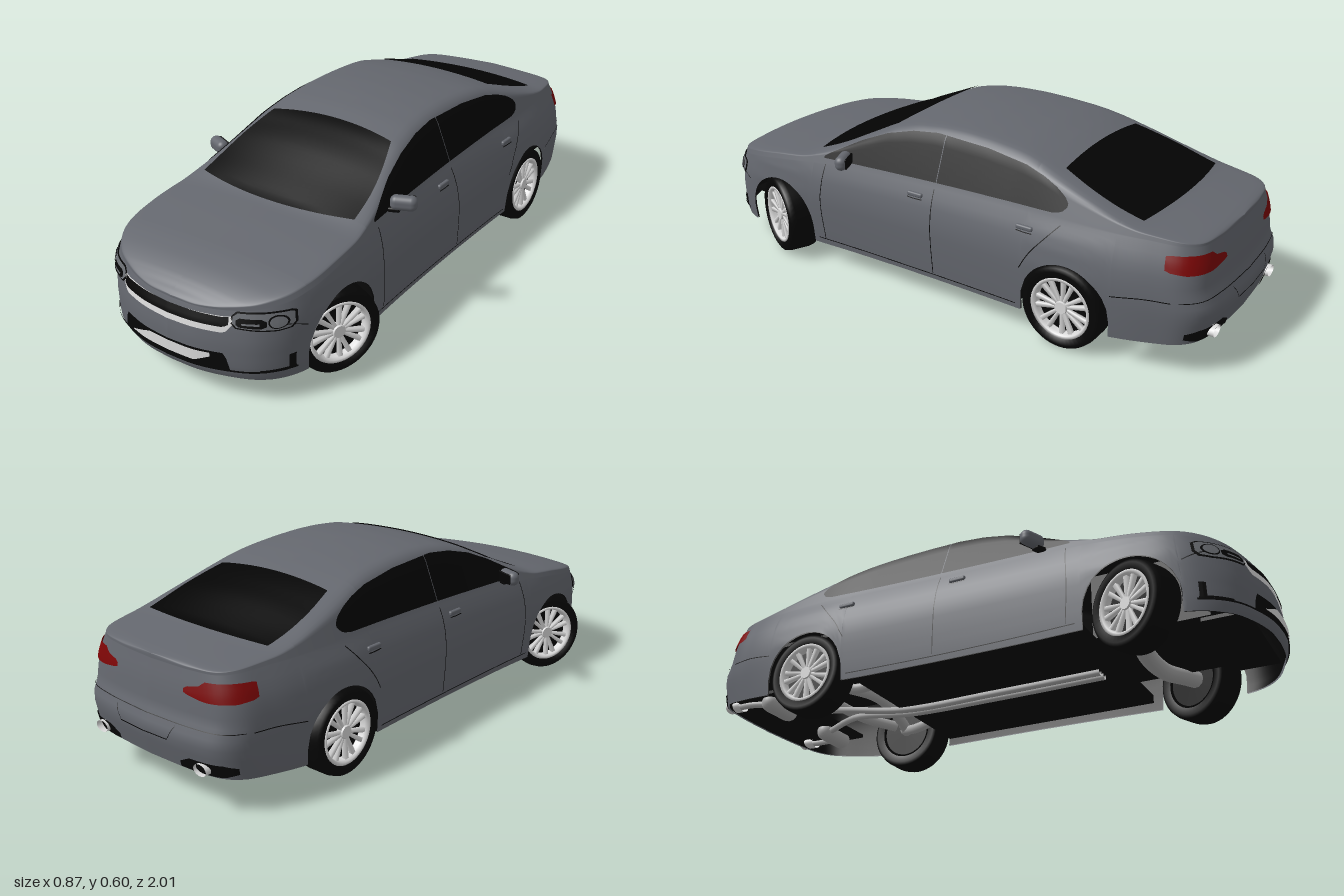
import * as THREE from 'three';
import { mergeVertices } from 'three/addons/utils/BufferGeometryUtils.js';
import { RoundedBoxGeometry } from 'three/addons/geometries/RoundedBoxGeometry.js';

const mat = (name, color) => new THREE.MeshStandardMaterial({ name, color, side: THREE.DoubleSide });

// ---- small helpers ----
const mix = (a, b, t) => a + (b - a) * t;
// linear table lookup, keys ascending; col picks the value column
function lin(t, x, col = 1) {
  if (x <= t[0][0]) return t[0][col];
  for (let i = 1; i < t.length; i++) {
    if (x <= t[i][0]) return mix(t[i - 1][col], t[i][col], (x - t[i - 1][0]) / (t[i][0] - t[i - 1][0] || 1));
  }
  return t[t.length - 1][col];
}
// surface from fn(u, v); its front is dU x dV
function grid(nu, nv, fn) {
  const pos = [], idx = [];
  for (let i = 0; i <= nu; i++) for (let j = 0; j <= nv; j++) pos.push(...fn(i / nu, j / nv, i, j));
  for (let i = 0; i < nu; i++) for (let j = 0; j < nv; j++) {
    const a = i * (nv + 1) + j, b = a + nv + 1;
    idx.push(a, b, a + 1, b, b + 1, a + 1);
  }
  const g = new THREE.BufferGeometry();
  g.setAttribute('position', new THREE.Float32BufferAttribute(pos, 3));
  g.setIndex(idx);
  g.computeVertexNormals();
  return g;
}

// ---- body shape rules ----
const planPts = [[0, 1], [.1, .993], [.2, .965], [.28, .925], [.338, .86], [.368, .78], [.382, .66], [.383, .5], [.376, .3], [.373, 0],
  [.378, -.3], [.385, -.5], [.375, -.7], [.355, -.82], [.325, -.92], [.28, -.965], [.18, -.988], [0, -1]];
const arches = [.64, -.545], archR = .155;
const curve = new THREE.CatmullRomCurve3(planPts.map(([x, z]) => new THREE.Vector3(x, 0, z)));
const half = curve.getSpacedPoints(160).map(p => [p.z, Math.max(0, p.x)]).sort((a, b) => a[0] - b[0]);
for (const c of arches) for (const e of [-archR - .0008, -archR + .0002, archR - .0002, archR + .0008]) half.push([c + e, lin(half.slice(0, 161), c + e)]);
half.sort((a, b) => a[0] - b[0]);
const planX = z => lin(half, z);

const widthT = [[.08, .975], [.12, .985], [.2, .997], [.27, 1], [.33, .975], [.37, .942], [.4, .905], [.42, .88]];
const noseT = [[.08, .985], [.11, 1], [.2, .997], [.26, .985], [.3, .97], [.33, .955]];
const tailT = [[.1, .975], [.14, .985], [.2, 1], [.23, 1], [.26, .98], [.35, .968], [.42, .952]];
const rimT = [[-1, .41], [-.93, .415], [-.8, .42], [-.5, .415], [0, .4], [.3, .39], [.5, .378], [.65, .36], [.8, .338], [.9, .318], [1, .293]];
const ridgeT = [[-1, .41], [-.94, .43], [-.85, .443], [-.76, .455], [-.7, .475], [-.6, .512], [-.5, .543], [-.4, .57], [-.3, .588], [-.2, .598],
  [-.1, .603], [0, .6], [.1, .588], [.2, .56], [.3, .52], [.4, .472], [.53, .413], [.65, .4], [.8, .376], [.88, .354], [.94, .326], [.97, .298], [1, .285]];
const sillT = [[-1, .118], [-.9, .108], [-.7, .09], [-.3, .085], [.9, .08], [1, .085]];
const ridge = z => (lin(ridgeT, z - .02) + lin(ridgeT, z) + lin(ridgeT, z + .02)) / 3;
function bottomY(z) {
  for (const c of arches) {
    const d = z - c;
    if (Math.abs(d) < archR) return .135 + Math.sqrt(archR * archR - d * d);
  }
  return lin(sillT, z);
}
function skin(px, pz, y) {
  const g = lin(pz > 0 ? noseT : tailT, y);
  return [px * lin(widthT, y), y, pz * (1 + (g - 1) * pz ** 4)];
}
// section above the shoulder: corner of roof (or bonnet) and centre height
function section(xr, yr, z) {
  const H = Math.max(ridge(z), yr + .002), h = H - yr, k = .5 + .4 * Math.min(1, (h / .17) ** 1.2);
  return { xc: Math.max(0, xr - .4 * k * h), yc: yr + k * h, H };
}
const sectionAt = z => {
  const yr = lin(rimT, z), xr = planX(z) * lin(widthT, yr);
  return { xr, yr, ...section(xr, yr, z) };
};
function topPoint(xr, yr, z, w) {
  const { xc, yc, H } = section(xr, yr, z);
  const roof = s => [xc * s, yc + (H - yc) * (1 - s * s)];
  const side = a => [mix(xr, xc, a), mix(yr, yc, a)];
  if (w < .4) return side(w * 2);
  if (w > .6) return roof(.85 * (1 - w) / .4);
  const t = (w - .4) / .2, p = side(.8), q = roof(.85);
  return [0, 1].map(i => (1 - t) ** 2 * p[i] + 2 * t * (1 - t) * [xc, yc][i] + t * t * q[i]);
}

// whole outer skin: columns run round the plan, rows climb from sill to centre line
function bodySkin() {
  const loop = [...half.map(p => [p[1], p[0]]).reverse(), ...half.slice(1).map(p => [-p[1], p[0]])];
  const low = 10, high = 20;
  let g = grid(loop.length - 1, low + high, (u, v, i, j) => {
    const [px, pz] = loop[i], s = px < 0 ? -1 : 1, yr = lin(rimT, pz);
    if (j <= low) return skin(px, pz, mix(bottomY(pz), yr, j / low));
    const [xr, , z] = skin(Math.abs(px), pz, yr);
    const [x, y] = topPoint(xr, yr, z, (j - low) / high);
    return [j === low + high ? 0 : s * x, y, z];
  });
  g = mergeVertices(g, 1e-5);
  g.computeVertexNormals();
  return g;
}
// same skin, moved inwards and turned inside out
function liningOf(skinGeo) {
  const g = skinGeo.clone(), p = g.attributes.position, n = g.attributes.normal;
  for (let i = 0; i < p.count; i++) p.setXYZ(i, p.getX(i) - n.getX(i) * .006, p.getY(i) - n.getY(i) * .006, p.getZ(i) - n.getZ(i) * .006);
  g.setIndex(Array.from(g.index.array).reverse());
  g.computeVertexNormals();
  return g;
}
// thin plate wrapped on nose (dir 1) or tail (dir -1); cols are [plan x, yLow, yHigh]
function endPlate(cols, dir, off = .004) {
  const order = dir > 0 ? half.slice().reverse() : half;
  const x0 = cols[0][0], x1 = cols[cols.length - 1][0];
  return grid(40, 4, (u, v) => {
    const c = dir > 0 ? mix(x0, x1, u) : mix(x1, x0, u), px = Math.abs(c);
    const y = mix(lin(cols, c, 1), lin(cols, c, 2), v);
    let i = 1;
    while (order[i][1] < px && i < 80) i++;
    const a = order[i - 1], b = order[i], dz = b[0] - a[0], dx = b[1] - a[1], len = Math.hypot(dx, dz);
    const [x, , z] = skin(px, a[0] + dz * (px - a[1]) / dx, y);
    return [Math.sign(c) * (x - dir * off * dz / len), y, z + dir * off * dx / len];
  });
}
const mirrorCols = cols => cols.map(([x, a, b]) => [-x, a, b]).reverse();
const roundCols = (x, y, r) => Array.from({ length: 13 }, (_, i) => {
  const a = Math.PI * (1 - i / 12), h = r * Math.sin(a);
  return [x + r * Math.cos(a), y - h, y + h];
});
const sideX = (z, y) => planX(z) * lin(widthT, y);
// fine line on a flank along [z, y] points
function seam(pts, s) {
  const path = new THREE.CatmullRomCurve3(pts.map(([z, y]) => new THREE.Vector3(0, y, z)));
  return grid(24, 1, (u, v) => {
    const p = path.getPoint(u), t = path.getTangent(u), d = (v - .5) * .003;
    const z = p.z + t.y * d, y = p.y - t.z * d;
    return [s * (sideX(z, y) + .0025), y, z];
  });
}

export function createModel() {
  const car = new THREE.Group();
  car.name = 'saloonCar';
  const paint = mat('bodyGrey', 0x64676e), glass = mat('darkGlass', 0x030303), trim = mat('blackTrim', 0x060606);
  const rubber = mat('tyreBlack', 0x050505), silver = mat('silver', 0xdadada), steel = mat('steel', 0xaaaaaa);
  const red = mat('lampRed', 0x7c0606), lens = mat('lampLens', 0x6a6d72);
  const add = (name, geo, m, parent = car, pos = [0, 0, 0]) => {
    const mesh = new THREE.Mesh(geo, m);
    mesh.name = name;
    mesh.position.set(...pos);
    parent.add(mesh);
    return mesh;
  };
  const tube = (name, pts, r, m) => add(name, new THREE.TubeGeometry(new THREE.CatmullRomCurve3(pts.map(p => new THREE.Vector3(...p))), 32, r, 10), m);

  // body
  const shell = bodySkin();
  add('bodyShell', shell, paint);
  add('innerLining', liningOf(shell), trim);

  // front and rear screens
  const screen = (z0, z1, w0, w1, bow0, bow1) => grid(24, 24, (u, v) => {
    const q = u * 2 - 1, x = q * (mix(w0, w1, v) + .014 * Math.sin(Math.PI * v));
    const z = mix(z0 + bow0 * q * q, z1 + bow1 * q * q, v);
    const { xc, yc, H } = sectionAt(z);
    return [x, yc + (H - yc) * (1 - (x / xc) ** 2) + .004, z];
  });
  add('windscreen', screen(.53, .17, .303, .24, -.045, .02), glass);
  add('rearWindow', screen(-.455, -.77, .235, .265, -.005, .025), glass);

  // side windows
  const winTop = [[-.52, .47], [-.505, .488], [-.47, .508], [-.42, .527], [-.35, .545], [-.2, .562], [0, .568], [.1, .556], [.2, .53], [.3, .488], [.42, .425], [.44, .412]];
  const winLow = [[-.52, .46], [-.505, .442], [-.47, .434], [0, .42], [.44, .405]];
  const pane = (z0, z1, s) => grid(40, 8, (u, v) => {
    const z = s > 0 ? mix(z0, z1, u) : mix(z1, z0, u), y = mix(lin(winLow, z), lin(winTop, z), v);
    const { xr, yr, xc, yc } = sectionAt(z);
    // follows the rounding of the roof edge near the top
    const a = (y - yr) / (yc - yr), tuck = Math.max(0, a - .8) ** 2 * .25;
    return [s * (mix(xr, xc, a) - tuck + .003), y, z];
  });

  // parts found on both flanks
  const lamp = [[.205, .27, .29], [.22, .256, .305], [.32, .25, .309], [.343, .254, .309], [.35, .27, .303]];
  const lampInner = [[.21, .273, .29], [.223, .261, .301], [.32, .255, .305], [.34, .259, .305], [.346, .272, .301]];
  const lampInset = [[.22, .27, .282], [.23, .264, .289], [.284, .262, .289], [.296, .268, .282]];
  const tailLamp = [[.155, .35, .36], [.17, .345, .368], [.215, .338, .376], [.24, .336, .391], [.32, .338, .393], [.342, .344, .392], [.345, .35, .39]];
  for (const s of [1, -1]) {
    const name = n => (s > 0 ? 'left' : 'right') + n;
    const m = cols => (s > 0 ? cols : mirrorCols(cols));
    add(name('FrontSideWindow'), pane(.44, -.031, s), glass);
    add(name('RearSideWindow'), pane(-.034, -.52, s), glass);
    add(name('HeadlampFrame'), endPlate(m(lamp), 1), trim);
    add(name('HeadlampLens'), endPlate(m(lampInner), 1, .006), lens);
    add(name('HeadlampInset'), endPlate(m(lampInset), 1, .008), trim);
    add(name('HeadlampBar'), endPlate(m([[.235, .271, .276], [.28, .271, .277]]), 1, .0095), lens);
    add(name('ProjectorRing'), endPlate(m(roundCols(.318, .28, .02)), 1, .008), trim);
    add(name('Projector'), endPlate(m(roundCols(.318, .28, .0165)), 1, .0095), lens);
    add(name('FogSlot'), endPlate(m([[.285, .117, .122], [.35, .117, .124]]), 1, .005), trim);
    add(name('FogSlotEdge'), endPlate(m([[.339, .122, .166], [.349, .122, .168]]), 1, .006), trim);
    add(name('TailLamp'), endPlate(m(tailLamp), -1, .005), red);
    add(name('RearVent'), endPlate(m([[.14, .122, .14], [.18, .12, .16], [.29, .12, .16], [.32, .13, .15]]), -1), trim);

    // door and panel gaps
    const lines = { FrontDoorGap: [[.43, .385], [.44, .25], [.43, .11]], CentreDoorGap: [[-.03, .4], [-.035, .25], [-.04, .11]],
      RearDoorGap: [[-.51, .405], [-.47, .36], [-.42, .3], [-.385, .24]], SillGap: [[.46, .105], [0, .103], [-.37, .105]],
      BumperGap: [[-.7, .235], [-.8, .25], [-.88, .252]], NoseGap: [[.8, .245], [.84, .262], [.87, .27]] };
    for (const [n, pts] of Object.entries(lines)) add(name(n), seam(pts, s), trim);
    for (const [n, z] of [['FrontDoorHandle', .04], ['RearDoorHandle', -.39]]) {
      add(name(n), new RoundedBoxGeometry(.014, .016, .06, 3, .006), paint, car, [s * (sideX(z, .37) + .001), .37, z]);
      add(name(n + 'Recess'), seam([[z + .03, .358], [z, .357], [z - .03, .358]], s), trim);
    }

    // door mirror, swept back
    const mirror = new THREE.Group();
    mirror.name = name('DoorMirror');
    mirror.position.set(s * .378, .431, .325);
    mirror.rotation.y = s * .4;
    car.add(mirror);
    add('mirrorHousing', new RoundedBoxGeometry(.088, .05, .042, 5, .0205), paint, mirror);
    add('mirrorGlass', new RoundedBoxGeometry(.07, .036, .006, 2, .003), glass, mirror, [0, 0, -.0195]);
    add('mirrorFoot', new RoundedBoxGeometry(.06, .016, .03, 2, .006), trim, mirror, [-s * .04, -.023, 0]);

    // exhaust tip
    const tip = add(name('ExhaustTip'), new THREE.CylinderGeometry(.018, .018, .06, 20, 1, true), silver, car, [s * .225, .138, -.955]);
    tip.rotation.x = Math.PI / 2;
    tip.scale.x = 1.5;
  }

  // nose details
  add('grilleSurround', endPlate([[-.216, .272, .29], [-.19, .238, .286], [0, .233, .28], [.19, .238, .286], [.216, .272, .29]], 1), silver);
  add('grille', endPlate([[-.2, .266, .288], [-.185, .257, .285], [0, .253, .283], [.185, .257, .285], [.2, .266, .288]], 1, .007), trim);
  add('lowerIntake', endPlate([[-.208, .113, .12], [-.193, .113, .173], [0, .113, .17], [.193, .113, .173], [.208, .113, .12]], 1), trim);
  add('intakePlate', endPlate([[-.155, .132, .134], [-.07, .132, .166], [.1, .132, .166], [.15, .155, .168]], 1, .007), silver);
  add('lipGap', endPlate([[-.352, .112, .118], [.352, .112, .118]], 1, .0035), trim);
  // tail details
  add('tailBumperGap', endPlate([[-.33, .253, .255], [.33, .253, .255]], -1), trim);
  add('plateRecessEdge', endPlate([[-.13, .243, .248], [-.105, .2, .203], [.105, .2, .203], [.13, .243, .248]], -1), trim);

  // underside
  const box = (n, w, h, d, x, y, z) => add(n, new THREE.BoxGeometry(w, h, d), trim, car, [x, y, z]);
  box('floor', .68, .03, .83, 0, .117, .045);
  box('engineBay', .4, .22, .38, 0, .24, .64);
  box('noseTray', .42, .012, .14, 0, .115, .87);
  box('bootFloor', .62, .012, .5, 0, .3, -.61);
  box('tailTray', .54, .012, .2, 0, .15, -.83);
  for (const x of [-.02, .02]) tube('exhaustPipe', [[x, .095, .4], [x, .092, 0], [x, .095, -.35], [x * 2, .13, -.6], [x * 6, .13, -.78]], .012, steel);
  tube('frontAxle', [[-.3, .14, .64], [-.2, .12, .62], [-.1, .11, .58], [.1, .11, .58], [.2, .12, .62], [.3, .14, .64]], .03, steel);
  tube('rearAxle', [[-.3, .14, -.535], [-.18, .15, -.5], [0, .17, -.48], [.18, .15, -.5], [.3, .14, -.535]], .02, steel);
  tube('rearSubframe', [[-.26, .16, -.57], [-.15, .17, -.64], [.15, .17, -.64], [.26, .16, -.57]], .02, steel);
  for (const s of [1, -1]) {
    const muffler = add('muffler', new THREE.CapsuleGeometry(.034, .1, 6, 14), steel, car, [s * .17, .13, -.8]);
    muffler.rotation.z = Math.PI / 2;
    tube('tailPipe', [[s * .2, .13, -.8], [s * .225, .136, -.88], [s * .225, .138, -.95]], .012, steel);
    tube('trailingArm', [[s * .2, .13, -.36], [s * .22, .12, -.45], [s * .27, .14, -.535]], .018, steel);
  }

  // wheels
  const lathe = pts => new THREE.LatheGeometry(pts.map(p => new THREE.Vector2(...p)), 48);
  const tyreGeo = lathe([[.1, -.05], [.125, -.056], [.136, -.05], [.14, -.032], [.14, .032], [.136, .05], [.125, .056], [.1, .05], [.098, .03], [.098, -.045], [.1, -.05]]);
  const rimGeo = lathe([[.103, .03], [.104, .052], [.094, .052], [.09, .04], [.089, .02]]);
  // spoke widens outwards
  const spokeGeo = new THREE.CylinderGeometry(.0105, .007, .076, 4, 1).rotateY(Math.PI / 4).rotateX(Math.PI / 2).translate(0, .036, .055);
  const hubGeo = new THREE.CylinderGeometry(.02, .026, .02, 20).translate(0, .037, 0);
  const barrelGeo = new THREE.CylinderGeometry(.092, .092, .068, 32).translate(0, -.012, 0);
  const wheel = (name, side, z, steer) => {
    const g = new THREE.Group(), spin = new THREE.Group();
    g.name = name;
    g.position.set(side * .33, .14, z);
    g.rotation.y = (side > 0 ? 0 : Math.PI) + steer;
    spin.rotation.z = -Math.PI / 2;
    g.add(spin);
    car.add(g);
    add('tyre', tyreGeo, rubber, spin);
    add('rim', rimGeo, silver, spin);
    add('hub', hubGeo, silver, spin);
    add('wheelBarrel', barrelGeo, trim, spin);
    for (let i = 0; i < 7; i++) for (const d of [-.18, .18]) add('spoke', spokeGeo, silver, spin).rotation.y = i * Math.PI * 2 / 7 + d;
  };
  for (const s of [1, -1]) {
    wheel(s > 0 ? 'frontLeftWheel' : 'frontRightWheel', s, .64, -.43);
    wheel(s > 0 ? 'rearLeftWheel' : 'rearRightWheel', s, -.535, 0);
  }
  return car;
}
